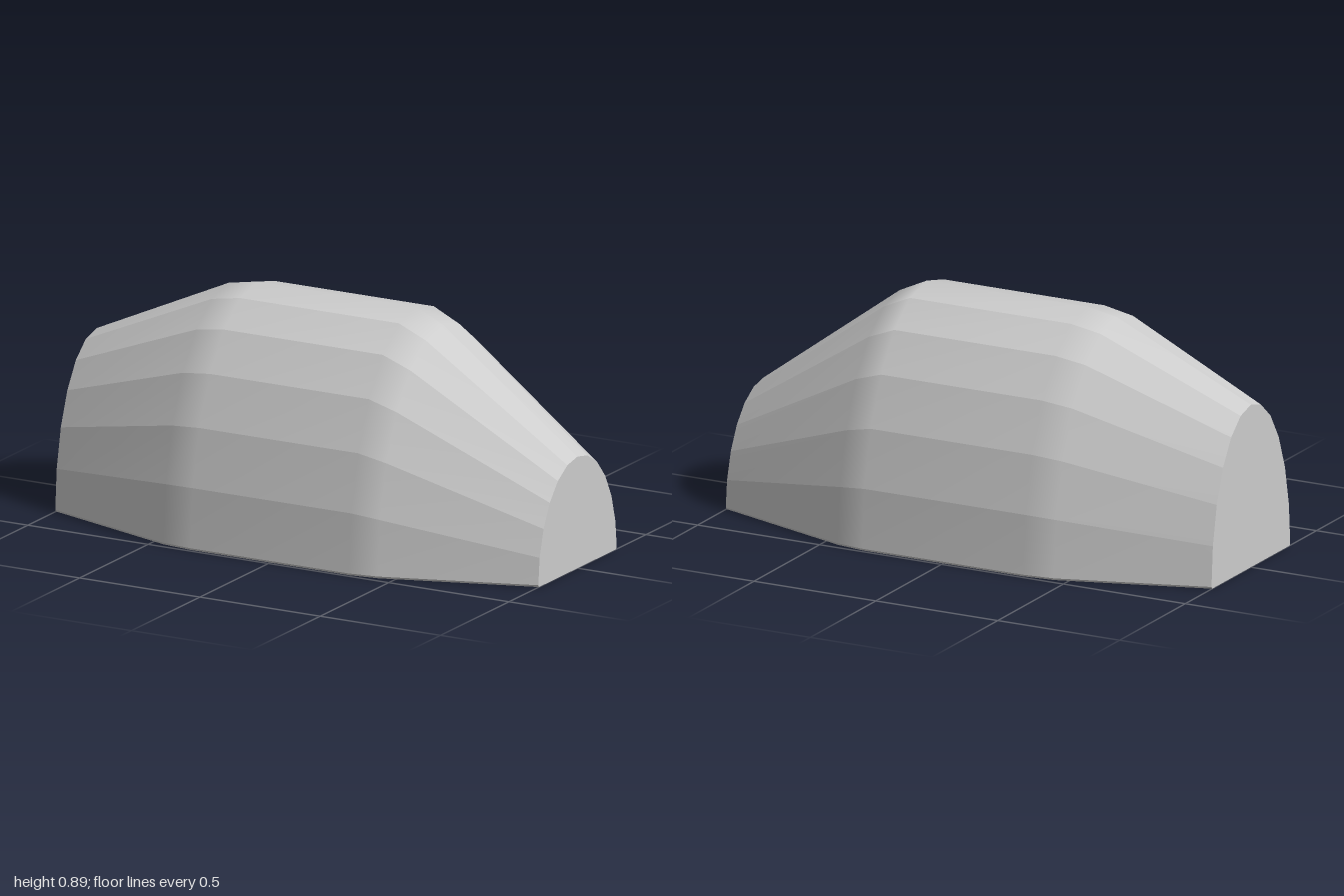
import * as THREE from 'three';

// Sections along the hull: x, half width, height
const SECTIONS = [
  [-1, 0.3, 0.615],
  [-0.45, 0.478, 0.865],
  [-0.33, 0.492, 0.887],
  [0.33, 0.492, 0.887],
  [0.44, 0.475, 0.835],
  [1, 0.286, 0.42],
];
const SEGMENTS = 12;

// Half ellipse from the +z foot over the top to the -z foot, with a tiny bevel at the ground
function ring([x, w, h]) {
  const points = [new THREE.Vector3(x, 0, w - 0.005)];
  for (let i = 0; i <= SEGMENTS; i++) {
    const a = (Math.PI * i) / SEGMENTS;
    points.push(new THREE.Vector3(x, Math.max(0.008, h * Math.sin(a)), w * Math.cos(a)));
  }
  points.push(new THREE.Vector3(x, 0, -w + 0.005));
  return points;
}

function buildGeometry(points, index) {
  const geometry = new THREE.BufferGeometry().setFromPoints(points);
  geometry.setIndex(index);
  geometry.computeVertexNormals();
  return geometry;
}

export function createModel() {
  const group = new THREE.Group();
  group.name = 'hull';
  const grey = new THREE.MeshStandardMaterial({ color: 0xcccccc });
  grey.name = 'light grey';

  const add = (name, geometry) => {
    const mesh = new THREE.Mesh(geometry, grey);
    mesh.name = name;
    group.add(mesh);
  };

  const rings = SECTIONS.map(ring);
  const count = rings[0].length;

  // Lengthwise panels: smooth along x, creased between neighbours; the last closes the floor
  const points = [];
  const index = [];
  for (let j = 0; j < count; j++) {
    const base = points.length;
    for (const r of rings) points.push(r[j], r[(j + 1) % count]);
    for (let i = 0; i < rings.length - 1; i++) {
      const a = base + 2 * i;
      index.push(a, a + 2, a + 3, a, a + 3, a + 1);
    }
  }
  add('shell', buildGeometry(points, index));

  // Flat end faces
  const fan = (r, flip) => {
    const faces = [];
    for (let j = 1; j < count - 1; j++) faces.push(0, ...(flip ? [j + 1, j] : [j, j + 1]));
    return buildGeometry(r, faces);
  };
  add('tallEnd', fan(rings[0], false));
  add('lowEnd', fan(rings[rings.length - 1], true));
  return group;
}
